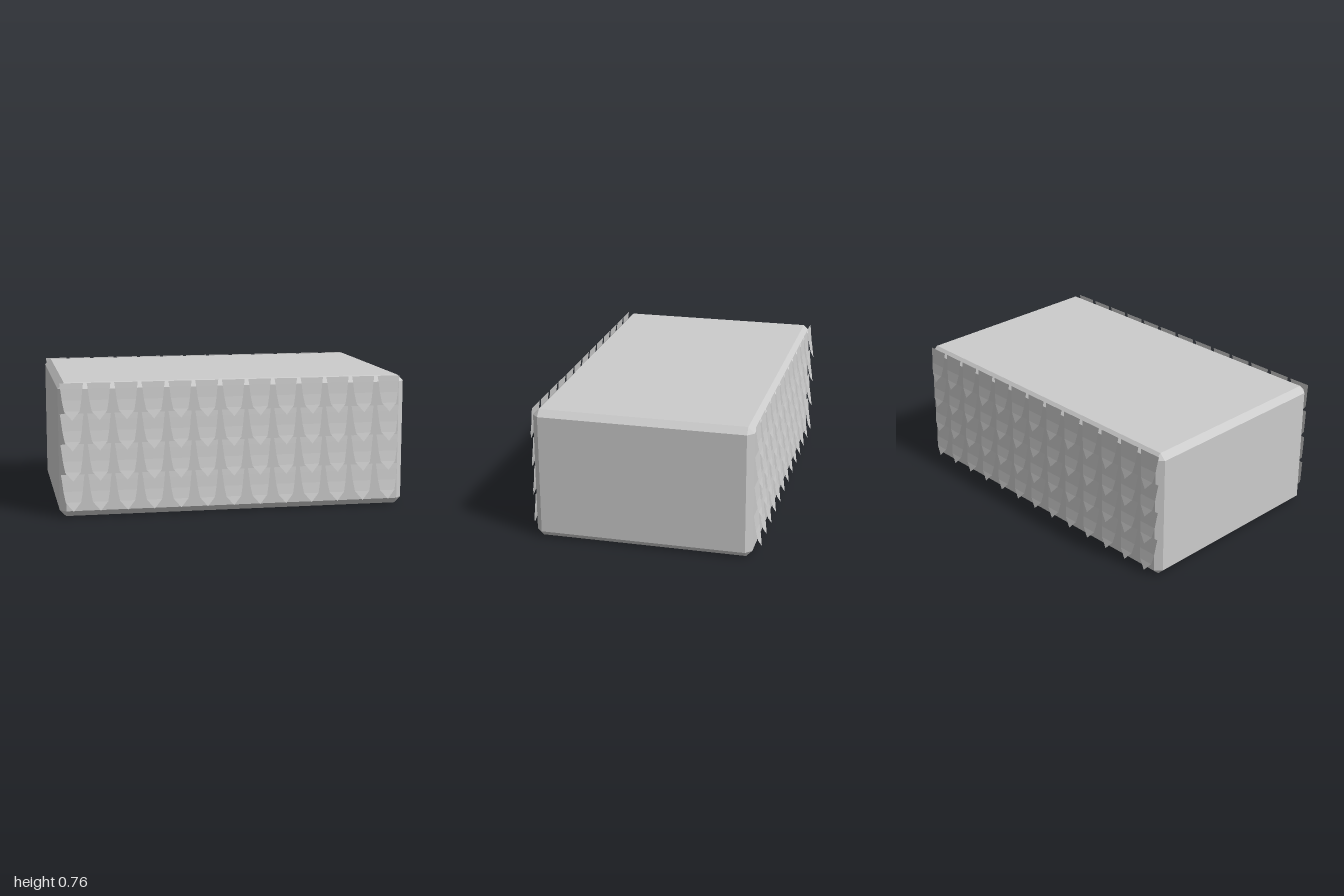
import * as THREE from 'three';
import { ConvexGeometry } from 'three/addons/geometries/ConvexGeometry.js';

const W = 1, H = 0.38, D = 0.62, CHAMFER = 0.035;

// Box with every edge and corner cut flat
function chamferedBox(w, h, d, c) {
  const points = [];
  for (const x of [-1, 1]) for (const y of [-1, 1]) for (const z of [-1, 1]) {
    points.push(
      new THREE.Vector3(x * w, y * (h - c), z * (d - c)),
      new THREE.Vector3(x * (w - c), y * h, z * (d - c)),
      new THREE.Vector3(x * (w - c), y * (h - c), z * d));
  }
  return new ConvexGeometry(points);
}

// Thin tapering scale that flares outward to a pointed tip: [half width, y, z]
function scaleGeometry() {
  const sections = [
    [0.066, 0.205, 0], [0.061, 0.172, 0.004], [0.054, 0.11, 0.011],
    [0.043, 0.05, 0.022], [0, 0, 0.036],
  ];
  const positions = [], index = [];
  sections.forEach(([w, y, z], i) => {
    positions.push(-w, y, z, w, y, z);
    if (i === 0) return;
    const a = 2 * i - 2;
    index.push(a, a + 2, a + 1);
    if (w > 0) index.push(a + 1, a + 2, a + 3);
  });
  const geometry = new THREE.BufferGeometry();
  geometry.setAttribute('position', new THREE.Float32BufferAttribute(positions, 3));
  geometry.setIndex(index);
  geometry.computeVertexNormals();
  return geometry;
}

export function createModel() {
  const model = new THREE.Group();
  model.name = 'scaledBlock';
  const solid = new THREE.MeshStandardMaterial({ color: 0xcccccc, flatShading: true });
  const sheet = new THREE.MeshStandardMaterial({
    color: 0xcccccc, flatShading: true, side: THREE.DoubleSide,
  });

  const block = new THREE.Mesh(chamferedBox(W, H, D, CHAMFER), solid);
  block.name = 'block';
  block.position.y = H;
  model.add(block);

  // Four overlapping rows of thirteen scales on the front and back
  const geometry = scaleGeometry();
  const columns = 13, rows = 4, stepX = 0.1523, stepY = 0.1717;
  for (const side of [1, -1]) {
    const wall = new THREE.Group();
    wall.name = side > 0 ? 'frontScales' : 'backScales';
    for (let r = 0; r < rows; r++) {
      for (let c = 0; c < columns; c++) {
        const scale = new THREE.Mesh(geometry, sheet);
        scale.name = 'scale';
        scale.position.set(-0.927 + c * stepX, 0.04 + r * stepY, side * 0.625);
        if (side < 0) scale.rotation.y = Math.PI;
        wall.add(scale);
      }
    }
    model.add(wall);
  }
  return model;
}
